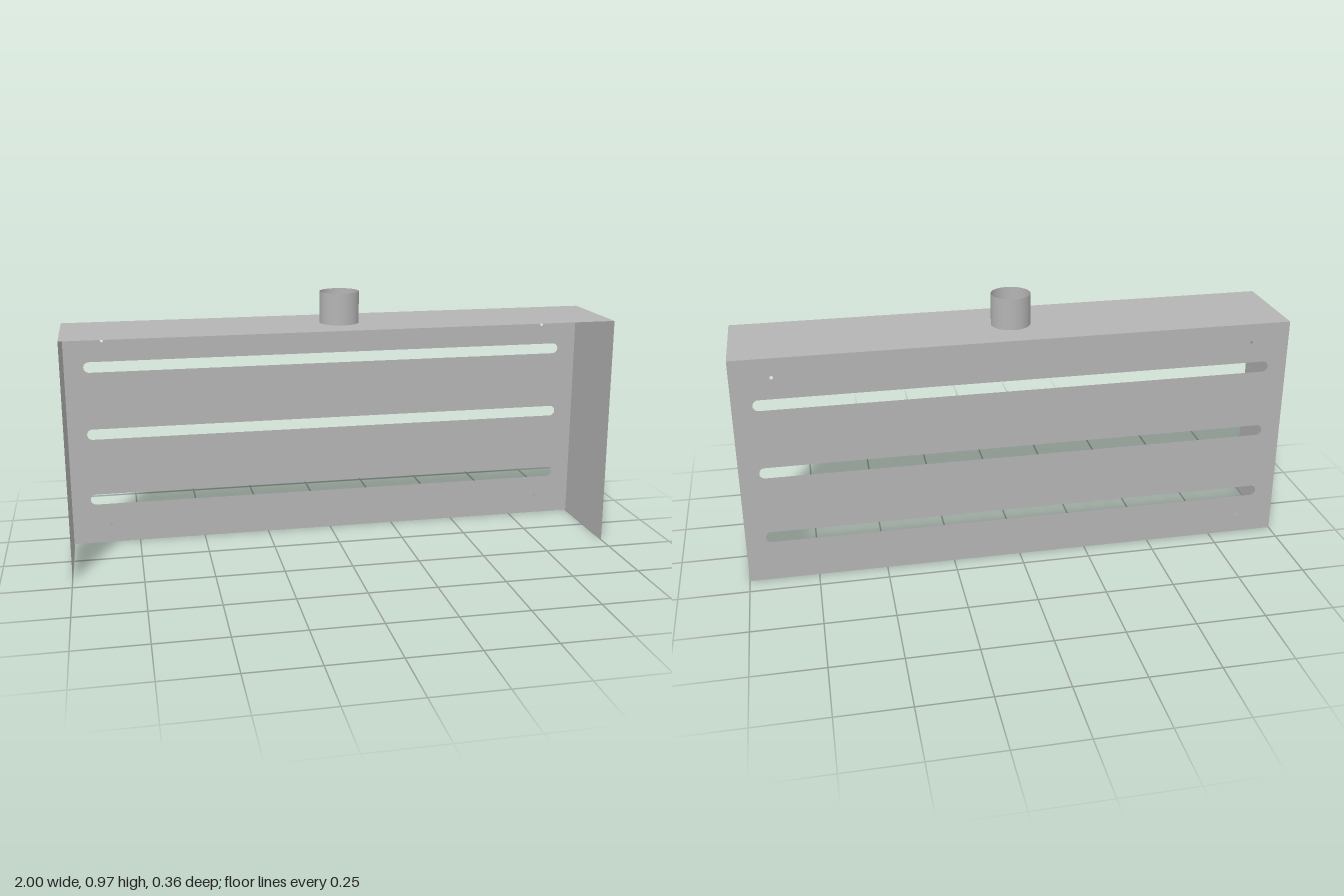
import * as THREE from 'three';

export function createModel() {
  const W = 2, H = 0.858, D = 0.358;
  const metal = new THREE.MeshStandardMaterial({ color: 0xb4b4b4, side: THREE.DoubleSide });
  metal.name = 'sheetMetal';
  const model = new THREE.Group();
  model.name = 'slottedHood';

  function add(name, geometry, x, y, z) {
    const mesh = new THREE.Mesh(geometry, metal);
    mesh.name = name;
    mesh.position.set(x, y, z);
    model.add(mesh);
  }

  // Back sheet with three rounded slots and four corner screw holes
  const back = new THREE.Shape();
  back.moveTo(-W / 2, 0).lineTo(W / 2, 0).lineTo(W / 2, H).lineTo(-W / 2, H).closePath();
  const r = 0.02, end = 0.909;
  for (const y of [0.174, 0.431, 0.689]) {
    const slot = new THREE.Path();
    slot.moveTo(-end, y - r);
    slot.lineTo(end, y - r);
    slot.absarc(end, y, r, -Math.PI / 2, Math.PI / 2, false);
    slot.lineTo(-end, y + r);
    slot.absarc(-end, y, r, Math.PI / 2, Math.PI * 1.5, false);
    back.holes.push(slot);
  }
  for (const x of [-0.858, 0.858]) {
    for (const y of [0.073, 0.788]) {
      back.holes.push(new THREE.Path().absarc(x, y, 0.006, 0, Math.PI * 2, false));
    }
  }
  add('backPanel', new THREE.ShapeGeometry(back, 16).rotateY(Math.PI).translate(0, 0, 0), 0, 0, -D / 2);

  // Side sheets, facing outwards
  for (const [name, s] of [['leftPanel', 1], ['rightPanel', -1]]) {
    add(name, new THREE.PlaneGeometry(D, H).rotateY(s * Math.PI / 2), s * W / 2, H / 2, 0);
  }

  // Top sheet; front and bottom stay open
  add('topPanel', new THREE.PlaneGeometry(W, D).rotateX(-Math.PI / 2), 0, H, 0);

  // Open pipe collar
  const pipeH = 0.115;
  add('pipeCollar', new THREE.CylinderGeometry(0.0715, 0.0715, pipeH, 48, 1, true), 0, H + pipeH / 2, 0);

  return model;
}
